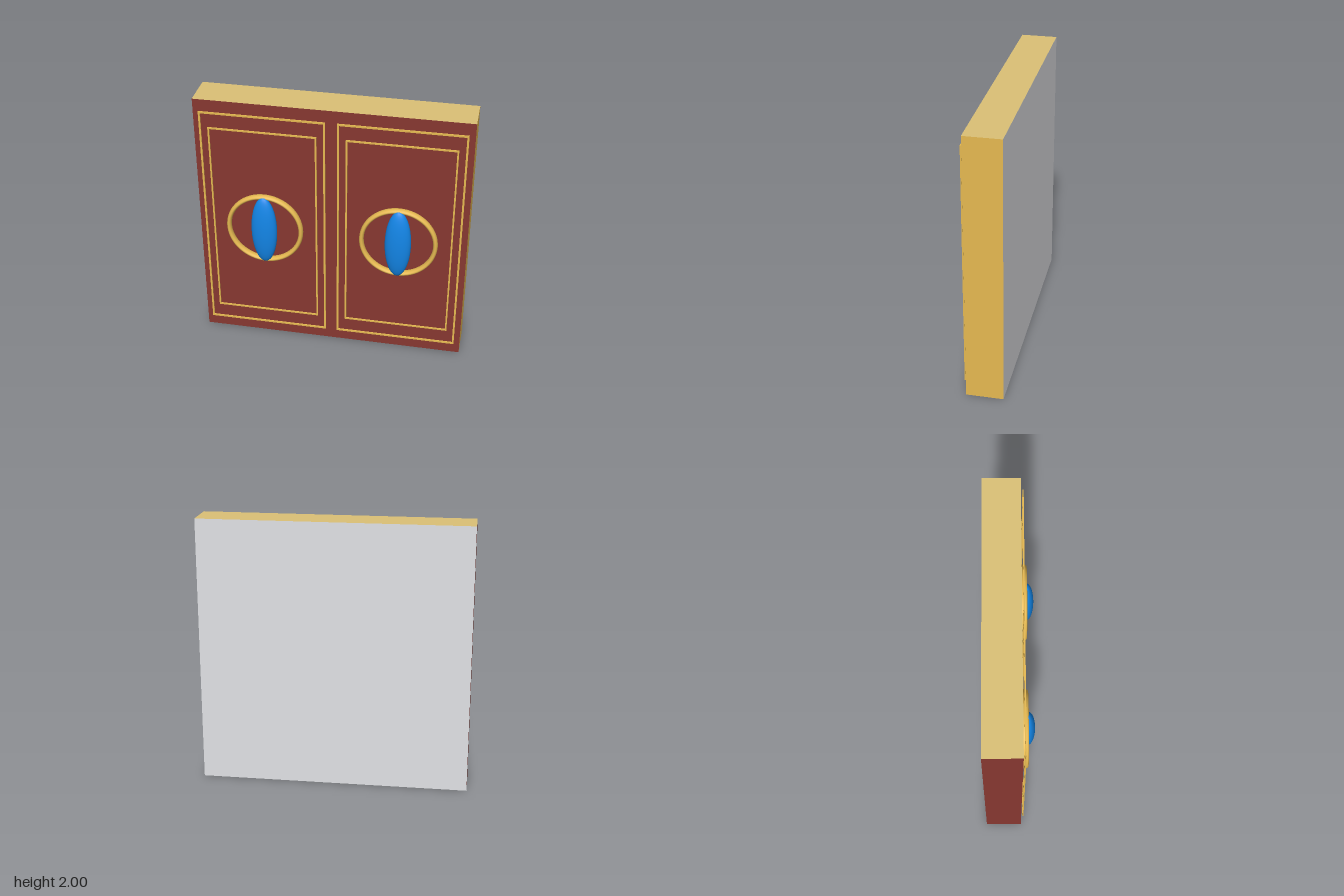
import * as THREE from 'three';

const mat = (name, color) => {
  const m = new THREE.MeshStandardMaterial({ color });
  m.name = name;
  return m;
};

export function createModel() {
  const red = mat('dark red', 0x873831);
  const gold = mat('gold', 0xe6b951);
  const khaki = mat('pale gold', 0xdbc176);
  const grey = mat('light grey', 0xe1e2e5);
  const blue = mat('blue', 0x148bf0);

  const model = new THREE.Group();
  model.name = 'doublePanel';

  const add = (parent, name, geometry, material, x, y, z) => {
    const mesh = new THREE.Mesh(geometry, material);
    mesh.name = name;
    mesh.position.set(x, y, z);
    parent.add(mesh);
    return mesh;
  };

  // Slab with one colour per face: +x, -x, +y, -y, +z, -z
  add(model, 'slab', new THREE.BoxGeometry(2, 2, 0.27),
    [gold, red, khaki, khaki, red, grey], 0, 1, -0.05);

  // Rectangular trim of four thin bars, centred on the panel
  const trim = (parent, name, halfW, bottom, top, t) => {
    const group = new THREE.Group();
    group.name = name;
    const mid = (bottom + top) / 2;
    for (const y of [bottom + t / 2, top - t / 2])
      add(group, 'horizontalBar', new THREE.BoxGeometry(halfW * 2, t, 0.009), gold, 0, y, 0.101);
    for (const s of [-1, 1])
      add(group, 'verticalBar', new THREE.BoxGeometry(t, top - bottom - 2 * t, 0.009), gold, s * (halfW - t / 2), mid, 0.101);
    parent.add(group);
  };

  for (const side of [-1, 1]) {
    const panel = new THREE.Group();
    panel.name = side > 0 ? 'leftPanel' : 'rightPanel';
    panel.position.x = side * 0.5;
    trim(panel, 'outerTrim', 0.457, 0.091, 1.914, 0.014);
    trim(panel, 'innerTrim', 0.395, 0.213, 1.792, 0.012);

    // Ring, deeper than it is wide
    const ring = new THREE.TorusGeometry(0.273, 0.017, 16, 64).scale(1, 1, 1.6);
    add(panel, 'ring', ring, gold, 0, 0.983, 0.108);

    // Slim gem standing inside the ring
    const gem = new THREE.SphereGeometry(1, 40, 28).rotateX(Math.PI / 2).scale(0.097, 0.28, 0.055);
    add(panel, 'gem', gem, blue, 0, 0.983, 0.13);
    model.add(panel);
  }
  return model;
}
